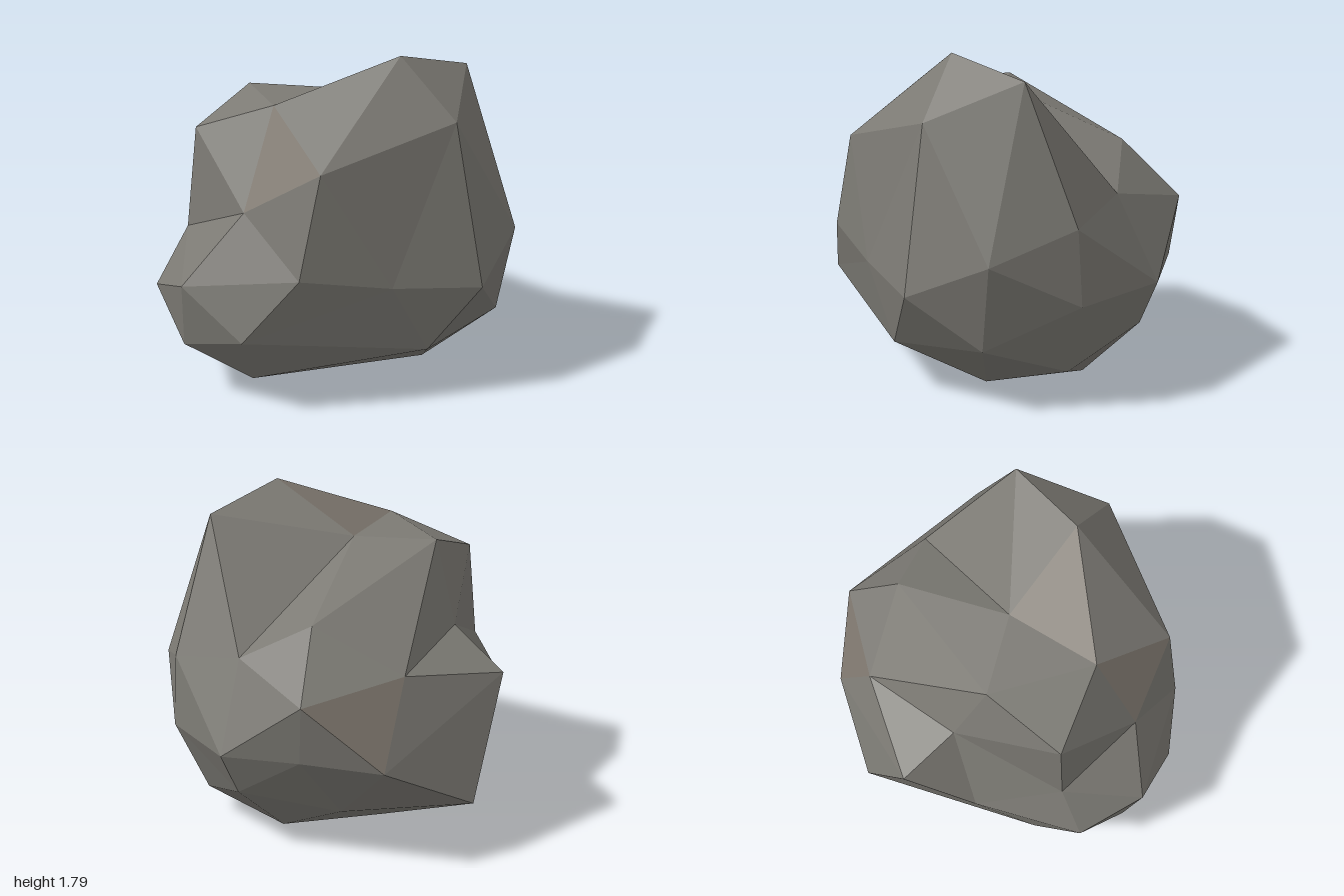
import * as THREE from 'three';

// Boulder: a twice-divided icosahedron described as loops from crown to base,
// each loop running front -> +x -> back -> -x.
const crown = [0.44, 1.79, 0.08];
const upperLoop = [
  [0.34, 1.29, 0.73], [0.78, 1.48, 0.10], [0.61, 1.69, -0.38], [-0.07, 1.55, -0.02], [-0.08, 1.55, 0.50],
];
const shoulderLoop = [
  [0.29, 0.76, 0.86], [0.63, 0.67, 0.50], [0.97, 0.62, 0.13], [0.96, 0.82, -0.32], [0.68, 0.98, -0.69],
  [0.25, 1.07, -0.77], [-0.13, 1.28, -0.69], [-0.50, 1.55, 0.10], [-0.54, 1.39, 0.56], [-0.09, 1.04, 0.78],
];
const middleLoop = [
  [0.03, 0.42, 1.00], [0.74, 0.28, 0.30], [0.89, 0.35, -0.26], [0.69, 0.58, -0.72], [0.25, 0.61, -1.00],
  [-0.21, 0.97, -1.00], [-0.60, 1.05, -0.60], [-0.66, 1.13, -0.02], [-0.58, 0.84, 0.61], [-0.34, 0.66, 1.00],
];
const lowerLoop = [
  [-0.04, 0.13, 0.80], [0.50, 0.02, -0.13], [0.56, 0.17, -0.61], [0.21, 0.36, -0.90], [-0.18, 0.64, -0.96],
  [-0.60, 0.62, -0.86], [-0.98, 0.96, -0.15], [-0.83, 0.58, 0.20], [-0.67, 0.54, 0.79], [-0.39, 0.30, 0.93],
];
const footLoop = [
  [-0.34, 0.03, 0.55], [0.12, 0.00, -0.56], [-0.27, 0.22, -0.65], [-0.95, 0.34, -0.48], [-0.71, 0.27, 0.52],
];
const base = [-0.38, 0.06, -0.33];

const at = (loop, i) => loop[(i + loop.length) % loop.length];

function boulderGeometry() {
  const grey = [], warm = [];
  const face = (a, b, c, list = grey) => list.push(...a, ...b, ...c);

  // Crown cap and the band that widens from five to ten points
  for (let i = 0; i < 5; i++) {
    const u = upperLoop[i], v = at(upperLoop, i + 1), mid = shoulderLoop[2 * i + 1];
    face(crown, u, v, i === 3 ? warm : grey);
    face(u, at(shoulderLoop, 2 * i - 1), shoulderLoop[2 * i]);
    face(u, shoulderLoop[2 * i], mid);
    face(u, mid, v, i === 4 ? warm : grey);
  }
  // Two bands around the sides
  [[shoulderLoop, middleLoop], [middleLoop, lowerLoop]].forEach(([top, bottom], band) => {
    for (let j = 0; j < 10; j++) {
      face(top[j], bottom[j], at(top, j + 1), band === 1 && j === 5 ? warm : grey);
      face(at(top, j + 1), bottom[j], at(bottom, j + 1));
    }
  });
  // Band narrowing to five points, and the base cap
  for (let i = 0; i < 5; i++) {
    const u = footLoop[i], v = at(footLoop, i + 1), mid = lowerLoop[2 * i + 1];
    face(lowerLoop[2 * i], u, mid);
    face(mid, u, v);
    face(mid, v, at(lowerLoop, 2 * i + 2));
    face(base, v, u);
  }

  const geometry = new THREE.BufferGeometry();
  geometry.setAttribute('position', new THREE.Float32BufferAttribute(grey.concat(warm), 3));
  geometry.addGroup(0, grey.length / 3, 0);
  geometry.addGroup(grey.length / 3, warm.length / 3, 1);
  geometry.computeVertexNormals(); // unshared corners give flat facets
  return geometry;
}

export function createModel() {
  const stone = new THREE.MeshStandardMaterial({ color: 0x7c7a74 });
  stone.name = 'stone grey';
  const warmStone = new THREE.MeshStandardMaterial({ color: 0x7d766d });
  warmStone.name = 'warm stone grey';

  const boulder = new THREE.Mesh(boulderGeometry(), [stone, warmStone]);
  boulder.name = 'boulder';

  const group = new THREE.Group();
  group.name = 'rock';
  group.add(boulder);
  return group;
}
